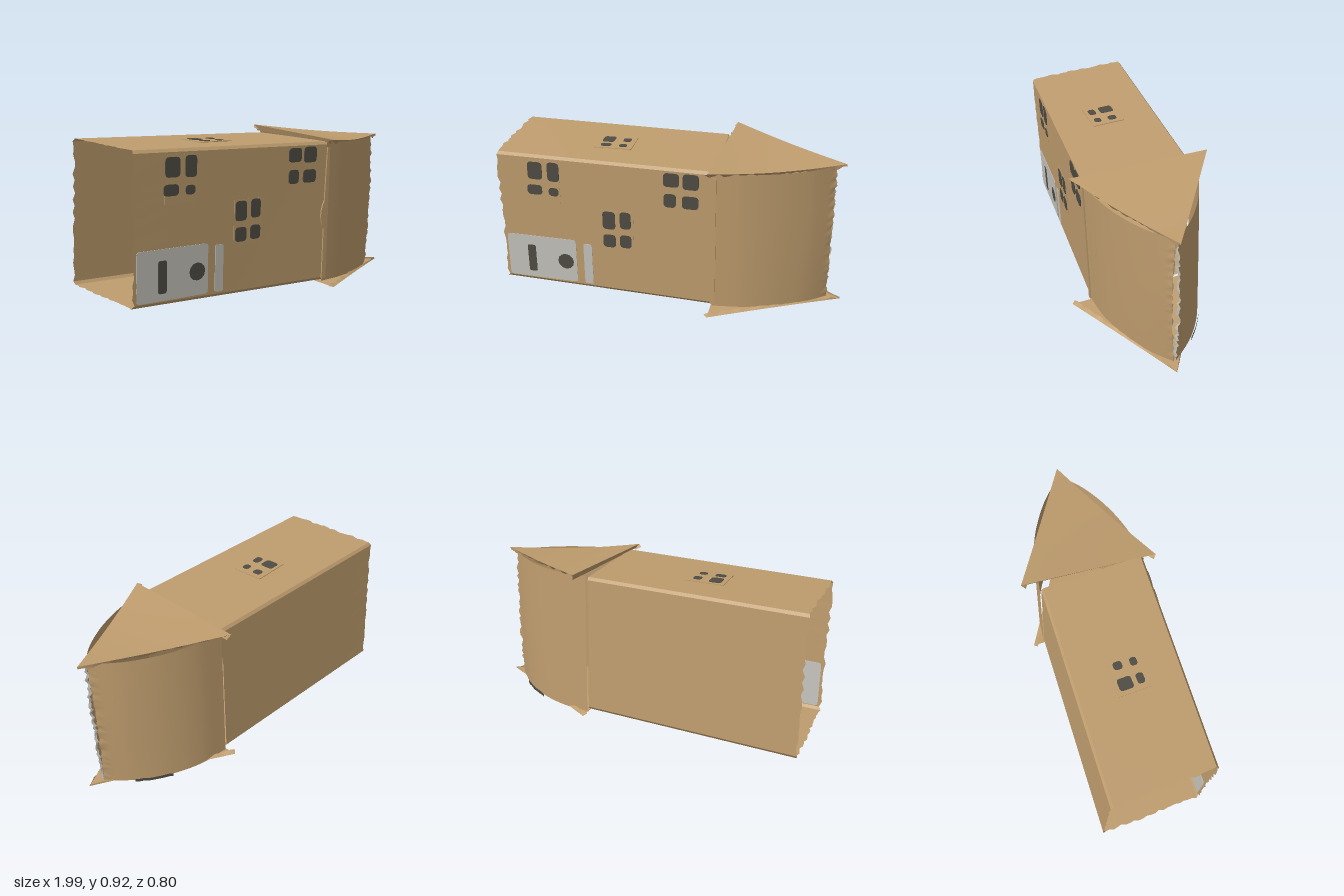
import * as THREE from 'three';

const mat = (name, color) => {
  const m = new THREE.MeshStandardMaterial({ color, side: THREE.DoubleSide });
  m.name = name;
  return m;
};
const mix = (a, b, t) => a + (b - a) * t;
const lerp3 = (a, b, t) => a.map((v, i) => mix(v, b[i], t));
// repeatable ragged noise in -1..1
const rough = (n) => {
  const s = Math.sin(n * 127.1 + 3.7) * 43758.5453;
  return (s - Math.floor(s)) * 2 - 1;
};

// smooth sheet from a rule (u, v) -> [x, y, z]
function sheet(nu, nv, rule) {
  const pos = [], idx = [];
  for (let j = 0; j <= nv; j++) {
    for (let i = 0; i <= nu; i++) {
      pos.push(...rule(i / nu, j / nv));
      if (i < nu && j < nv) {
        const a = j * (nu + 1) + i, b = a + nu + 1;
        idx.push(a, a + 1, b + 1, a, b + 1, b);
      }
    }
  }
  const g = new THREE.BufferGeometry();
  g.setAttribute('position', new THREE.Float32BufferAttribute(pos, 3));
  g.setIndex(idx);
  g.computeVertexNormals();
  return g;
}

// rounded rectangle centred on (x, y)
function blob(x, y, w, h, r) {
  const s = new THREE.Shape(), a = w / 2, b = h / 2;
  s.moveTo(x - a + r, y - b);
  s.lineTo(x + a - r, y - b);
  s.quadraticCurveTo(x + a, y - b, x + a, y - b + r);
  s.lineTo(x + a, y + b - r);
  s.quadraticCurveTo(x + a, y + b, x + a - r, y + b);
  s.lineTo(x - a + r, y + b);
  s.quadraticCurveTo(x - a, y + b, x - a, y + b - r);
  s.lineTo(x - a, y - b + r);
  s.quadraticCurveTo(x - a, y - b, x - a + r, y - b);
  return s;
}

// thin plate straddling a wall, its depth following the wall's rule
function plate(shape, depth, place) {
  const g = new THREE.ExtrudeGeometry(shape, { depth, bevelEnabled: false, curveSegments: 6 });
  g.translate(0, 0, -depth / 2);
  const p = g.attributes.position;
  for (let i = 0; i < p.count; i++) p.setXYZ(i, ...place(p.getX(i), p.getY(i), p.getZ(i)));
  g.computeVertexNormals();
  return g;
}

export function createModel() {
  const root = new THREE.Group();
  const card = mat('cardboard', 0xbf9d6e);
  const paper = mat('pale paper', 0xc6c3bc);
  const dark = mat('dark paint', 0x4f4c44);
  const add = (name, geo, m, parent = root) => {
    const mesh = new THREE.Mesh(geo, m);
    mesh.name = name;
    parent.add(mesh);
    return mesh;
  };

  // Long box: a four-sided sleeve, open at both ends, with softly folded corners
  const far = [[0.05, 0.21], [0.86, 0.24], [0.89, -0.36], [0.07, -0.405]];
  const near = [[0.03, 0.29], [0.852, 0.32], [0.878, -0.285], [0.06, -0.325]];
  const ring = (c) => c.flatMap((p, i) => {
    const prev = c[(i + 3) % 4], next = c[(i + 1) % 4];
    return [lerp3(p, prev, 0.02), lerp3(p, next, 0.02)];
  });
  const A = ring(far), B = ring(near);
  const sleeve = new THREE.Group();
  sleeve.name = 'boxSleeve';
  root.add(sleeve);
  const names = ['frontBottomFold', 'frontWall', 'frontTopFold', 'topWall',
    'backTopFold', 'backWall', 'backBottomFold', 'bottomWall'];
  names.forEach((name, k) => {
    const q = (k + 1) % 8, n = k % 2 ? 22 : 1;
    add(name, sheet(12, n, (u, v) => {
      const e = k + (v === 1 ? 1 : v);
      const ragged = u === 0 ? 0.009 * rough((e % 8) * 3.3) : 0;
      const a = lerp3(A[k], A[q], v), b = lerp3(B[k], B[q], v);
      const [y, z] = lerp3(a, b, u);
      return [mix(-0.988, 0.275, u) + ragged, y, z];
    }), card, sleeve);
  });

  // Front wall details
  const onFront = (x, y, d) => [x, y, 0.29 + (x - 0.26) * 0.0645 + (y - 0.03) * 0.036 + d];
  add('doorPanel', plate(blob(-0.755, 0.208, 0.43, 0.275, 0.02), 0.006, onFront), paper);
  add('doorStrip', plate(blob(-0.468, 0.2, 0.052, 0.26, 0.01), 0.006, onFront), paper);
  add('doorSlot', plate(blob(-0.82, 0.197, 0.05, 0.175, 0.012), 0.0095, onFront), dark);
  const knob = new THREE.Shape();
  knob.absarc(-0.608, 0.2, 0.049, 0, Math.PI * 2);
  add('doorKnob', plate(knob, 0.0095, onFront), dark);
  const panes = [
    [-0.762, 0.765, 0.088, 0.105], [-0.652, 0.765, 0.07, 0.115], [-0.77, 0.647, 0.09, 0.06], [-0.655, 0.642, 0.06, 0.05],
    [-0.33, 0.5, 0.075, 0.11], [-0.232, 0.508, 0.065, 0.105], [-0.33, 0.37, 0.075, 0.08], [-0.233, 0.375, 0.068, 0.08],
    [0.038, 0.785, 0.09, 0.08], [0.148, 0.783, 0.09, 0.09], [0.03, 0.662, 0.07, 0.08], [0.145, 0.66, 0.093, 0.075],
  ];
  for (const [x, y, w, h] of panes)
    add('windowPane', plate(blob(x, y, w, h, 0.024), 0.0095, onFront), dark);
  for (const [x, y] of [[-0.712, 0.7], [-0.28, 0.435]])
    add('windowFrame', plate(blob(x, y, 0.19, 0.255, 0.004), 0.004, onFront), card);

  // Hatches on top and underneath
  const onTop = (x, z, d) => [x, 0.867 + 0.004 * -x - 0.045 * z + d, z];
  add('topHatch', plate(blob(-0.35, -0.015, 0.22, 0.19, 0.006), 0.009, onTop), card);
  for (const [x, z, w, h] of [[-0.4, -0.05, 0.07, 0.08], [-0.292, -0.052, 0.046, 0.05],
    [-0.398, 0.037, 0.06, 0.042], [-0.297, 0.036, 0.046, 0.04]])
    add('topHatchHole', plate(blob(x, z, w, h, 0.018), 0.0098, (a, b, d) => onTop(a, b, d + 0.002)), dark);
  const onBottom = (x, z, d) => [x, 0.043 - 0.012 * x - 0.045 * z + d, z];
  add('bottomHatch', plate(blob(0.07, 0.14, 0.2, 0.17, 0.02), 0.008, onBottom), card);
  add('bottomHatchHole', plate(blob(0.09, 0.15, 0.09, 0.035, 0.015), 0.0095,
    (a, b, d) => onBottom(a, b, d - 0.002)), dark);

  // Pointed end: two bowed walls that almost meet in a torn slit
  const curve = (pts) => new THREE.CatmullRomCurve3(pts.map(([x, z]) => new THREE.Vector3(x, 0, z)));
  const sides = [
    ['pointFrontWall', curve([[0.27, 0.305], [0.45, 0.286], [0.62, 0.237], [0.79, 0.155], [0.915, 0.062]]), 1],
    ['pointBackWall', curve([[0.285, -0.308], [0.45, -0.282], [0.62, -0.215], [0.79, -0.1], [0.915, 0.03]]), -1],
  ];
  const wallAt = (path, s, u, v) => {
    const p = path.getPoint(u), y = mix(s > 0 ? 0.022 : 0.045 - 0.02 * u, s > 0 ? 0.845 : 0.885 - 0.035 * u, v);
    const tear = u > 0.97 ? rough(v * 71 + s) : 0;
    const gap = u * u * u * 0.014 * (Math.sin(v * Math.PI) - 0.6);
    const lean = 0.036 * (v - 0.5) * (u < 0.6 ? 1 : mix(1, 0.7, (u - 0.6) / 0.4));
    return [p.x + tear * 0.008 + 0.008 * v * u, y, p.z + lean + s * (gap + tear * 0.004)];
  };
  for (const [name, path, s] of sides) {
    add(name, sheet(26, 44, (u, v) => wallAt(path, s, u, v)), card);
    // frayed paper lining along the tear
    add('tornLining', sheet(1, 44, (u, v) => {
      const [x, y, z] = wallAt(path, s, 1, v);
      return [x - 0.012 * u, y, z - s * u * 0.007 * (1 + rough(v * 37 + s))];
    }), paper);
  }
  // dark tear low on the back wall of the point
  add('lowerTear', sheet(10, 1, (u, v) => {
    const [x, , z] = wallAt(sides[1][1], -1, mix(0.5, 0.76, u), 0);
    return [x + 0.006, mix(0.026, 0.046, v) + 0.003 * rough(u * 9), z - 0.006];
  }), dark);

  // Triangular roof and floor with bent, ragged rims
  const triangle = (front, back, tip, sag) => (u, v) => {
    const p = lerp3(lerp3(front, back, u), tip, v);
    p[1] += sag * Math.sin(v * Math.PI) * (1 - 0.5 * u);
    return p;
  };
  const covers = [
    ['pointRoof', triangle([0.25, 0.866, 0.39], [0.315, 0.921, -0.385], [0.975, 0.857, 0.06], -0.017), -0.024],
    ['pointFloor', triangle([0.26, 0.006, 0.4], [0.28, 0.05, -0.395], [0.995, 0.02, 0.055], 0.003), 0.014],
  ];
  for (const [name, rule, drop] of covers) {
    add(name, sheet(12, 20, rule), card);
    for (const side of [0, 1]) {
      add(name + 'Rim', sheet(30, 2, (t, w) => {
        const [x, y, z] = rule(side, t);
        const r = 0.7 + 0.4 * rough(t * 50 + side);
        const into = 0.02 * w * (1 - t);
        return [x - into, y + drop * w * r, z + (side ? into : -into)];
      }), card);
    }
  }
  // fold of the roof standing behind its base edge
  add('roofBaseFold', sheet(14, 1, (t, w) => {
    const [x, y, z] = covers[0][1](t, 0);
    return [x + 0.012 * w, y - w * (0.02 + 0.018 * t), z * (1 - 0.05 * w)];
  }), card);

  // Seam flap with its rounded tongue where point and box join
  const flap = new THREE.Shape();
  flap.moveTo(0.29, 0.04);
  flap.lineTo(0.26, 0.04);
  flap.lineTo(0.262, 0.34);
  flap.quadraticCurveTo(0.215, 0.42, 0.262, 0.51);
  flap.lineTo(0.272, 0.82);
  flap.lineTo(0.29, 0.82);
  flap.closePath();
  add('seamFlap', plate(flap, 0.008, (x, y, d) => onFront(x, y, d + 0.005)), card);

  return root;
}
